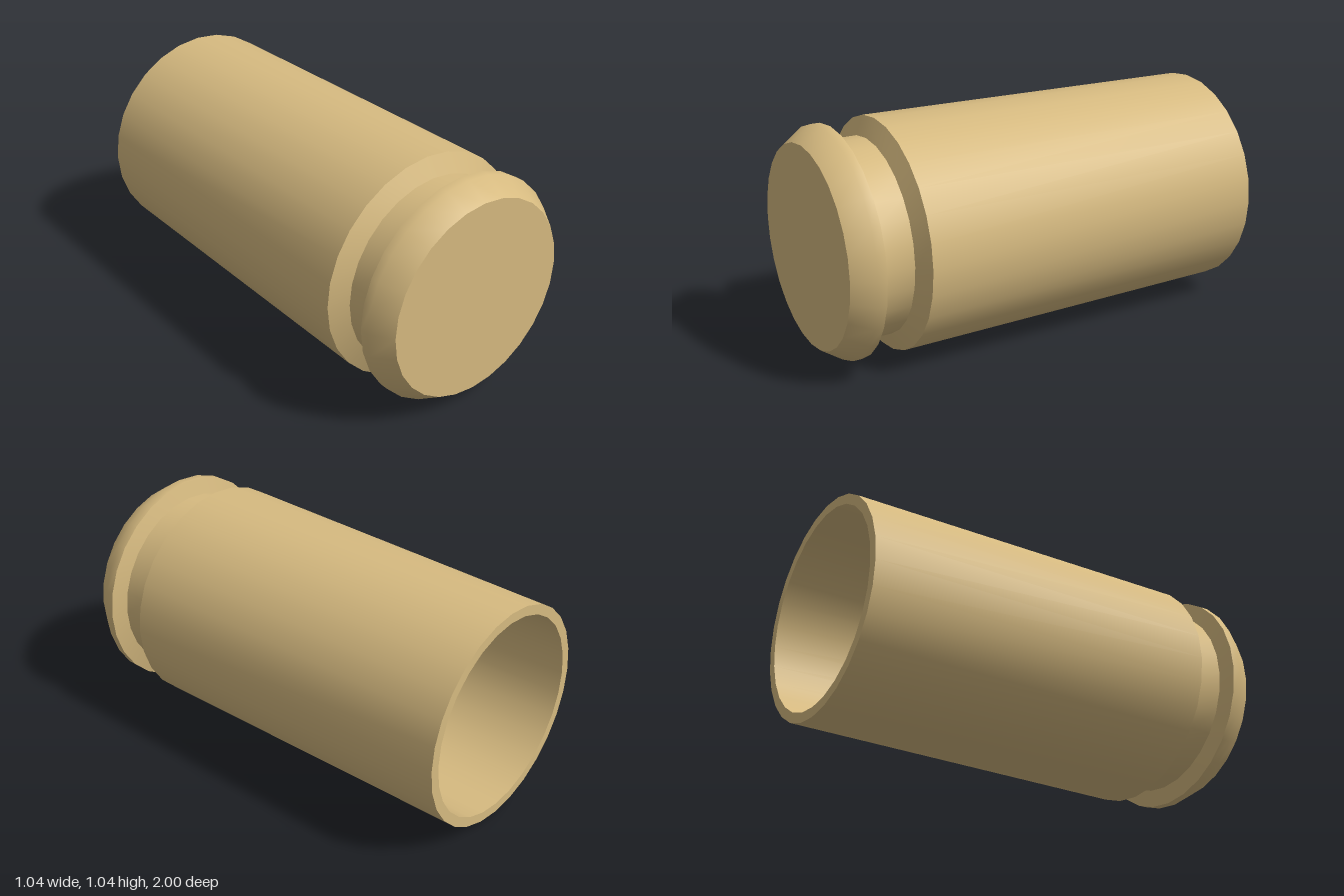
import * as THREE from 'three';
import { toCreasedNormals } from 'three/addons/utils/BufferGeometryUtils.js';

const SEGMENTS = 28;
const RADIUS = 0.52;

export function createModel() {
  const group = new THREE.Group();
  group.name = 'casing';
  const brass = new THREE.MeshStandardMaterial({ color: 0xd6ba80 });

  // Closed half-section as [radius, z], from the inner floor round to the base
  const section = [
    [0, 0.62], [0.45, 0.62],              // inner floor
    [0.455, -1], [0.5, -1],               // bore and open mouth
    [0.52, 0.665],                        // tapered wall
    [0.437, 0.705], [0.437, 0.845],       // extractor groove
    [0.513, 0.865], [0.513, 0.905],       // rim
    [0.45, 1], [0, 1],                    // bevel and base
  ].map(([r, z]) => new THREE.Vector2(r, z));

  // Turn the lathe axis from y to z and keep only the sharp edges hard
  const lathe = new THREE.LatheGeometry(section, SEGMENTS);
  lathe.rotateX(Math.PI / 2);
  const shell = new THREE.Mesh(toCreasedNormals(lathe, 0.65), brass);
  shell.name = 'shell';
  shell.position.y = RADIUS;
  group.add(shell);

  return group;
}
